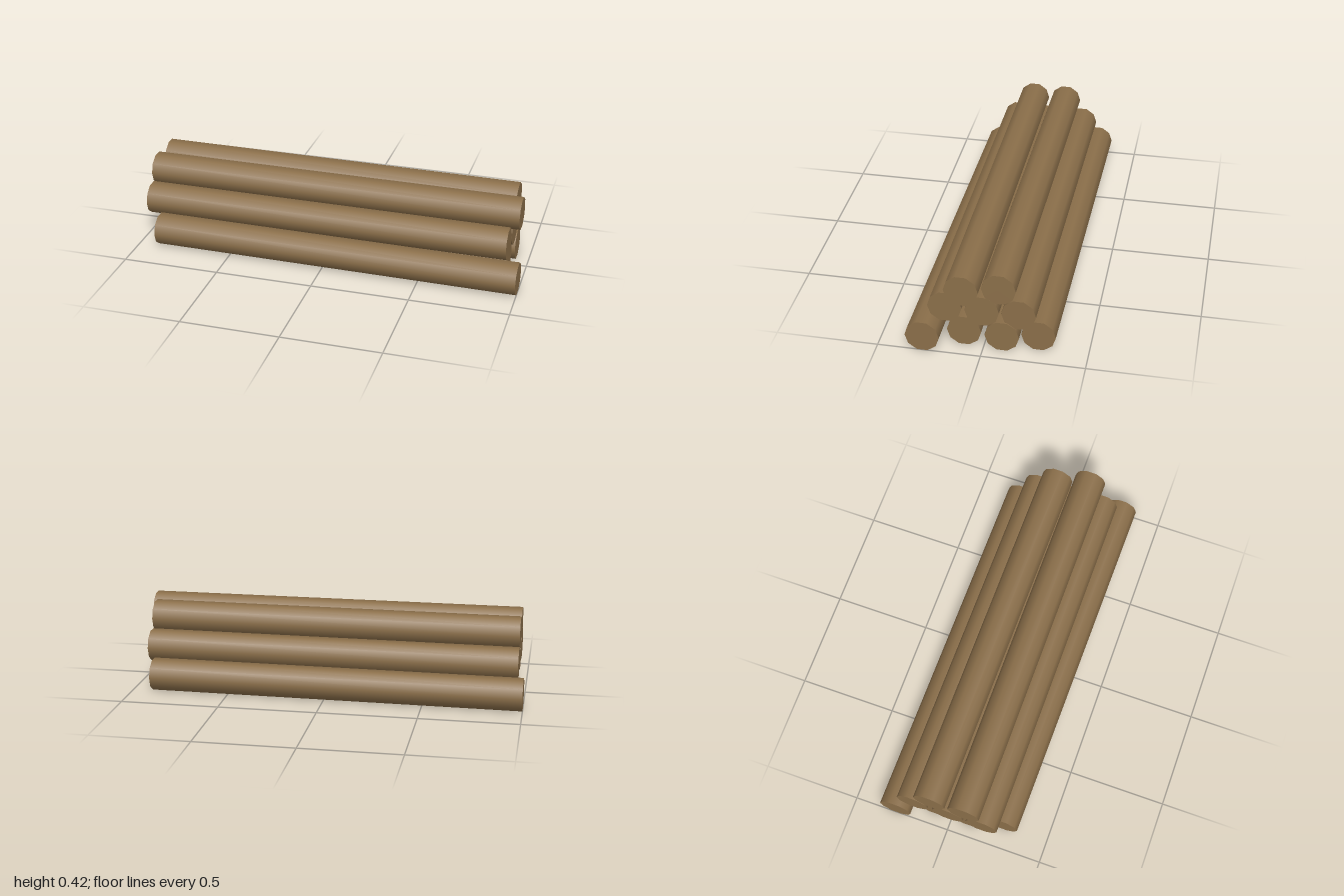
import * as THREE from 'three';

const RADIUS = 0.083;

// One entry per log: [height, right end x, right end z, left end x, left end z]
const LOGS = {
  bottom: [
    [0.079, -0.90, 0.261, 1.00, 0.282],
    [0.079, -0.94, 0.092, 0.92, 0.095],
    [0.079, -0.94, -0.094, 0.935, -0.09],
    [0.079, -1.00, -0.281, 0.90, -0.26],
  ],
  middle: [
    [0.214, -0.97, 0.177, 0.93, 0.185],
    [0.21, -0.97, -0.002, 0.93, 0.006],
    [0.21, -0.97, -0.191, 0.93, -0.17],
  ],
  top: [
    [0.345, -0.97, 0.086, 0.975, 0.095],
    [0.343, -0.97, -0.094, 0.93, -0.075],
  ],
};

// A ten-sided log lying between two end points, with a flat on top
function makeLog([y, x0, z0, x1, z1], material) {
  const length = Math.hypot(x1 - x0, z1 - z0);
  const geometry = new THREE.CylinderGeometry(RADIUS, RADIUS, length, 10);
  geometry.rotateZ(-Math.PI / 2);
  const log = new THREE.Mesh(geometry, material);
  log.position.set((x0 + x1) / 2, y, (z0 + z1) / 2);
  log.rotation.y = -Math.atan2(z1 - z0, x1 - x0);
  return log;
}

export function createModel() {
  const model = new THREE.Group();
  model.name = 'logPile';
  const wood = new THREE.MeshStandardMaterial({ color: 0x8b6f4a });
  wood.name = 'wood';

  // Three stacked rows
  for (const [row, logs] of Object.entries(LOGS)) {
    const group = new THREE.Group();
    group.name = `${row}Row`;
    logs.forEach((spec, i) => {
      const log = makeLog(spec, wood);
      log.name = `${row}Log${i + 1}`;
      group.add(log);
    });
    model.add(group);
  }
  return model;
}
